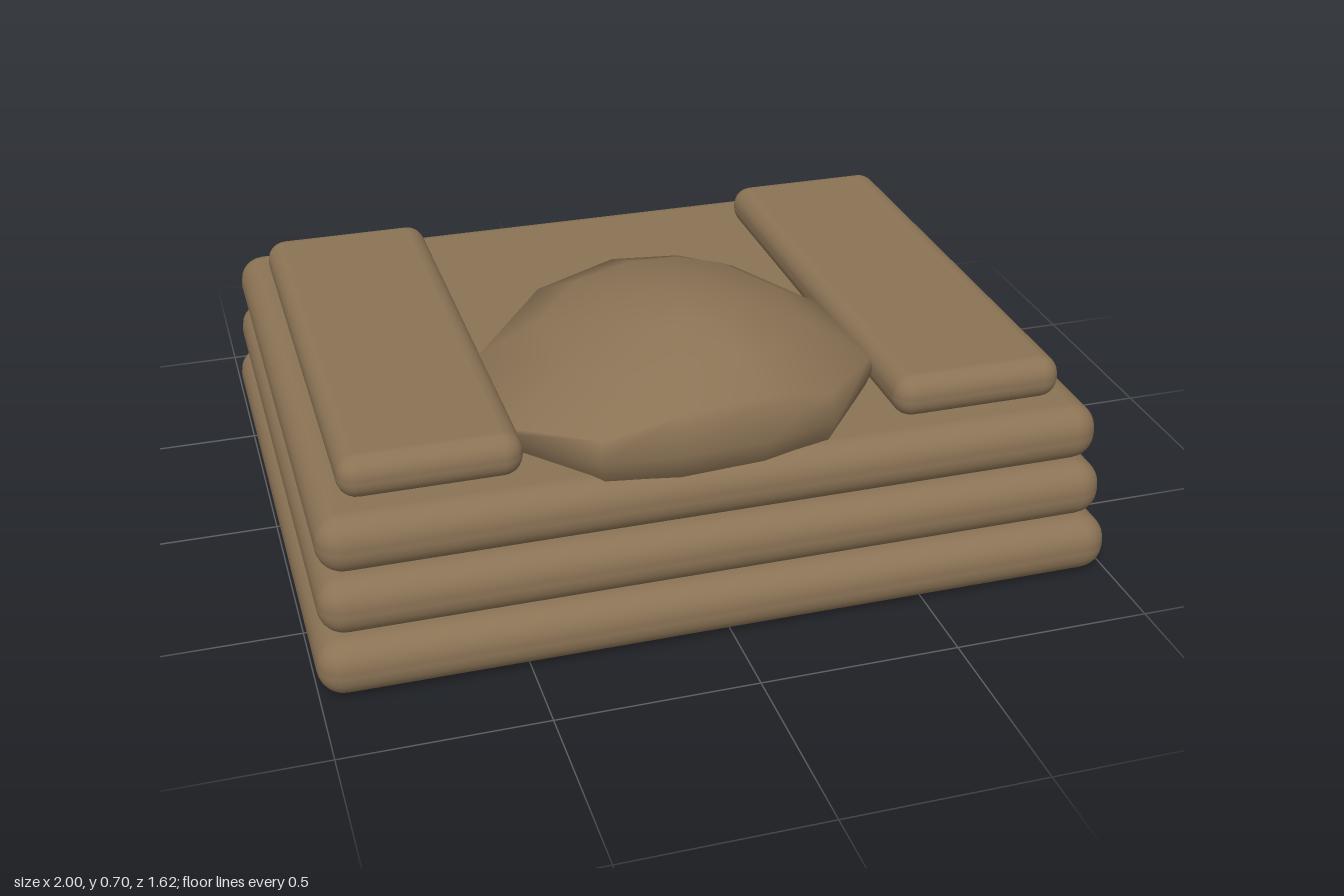
import * as THREE from 'three';
import { RoundedBoxGeometry } from 'three/addons/geometries/RoundedBoxGeometry.js';

const cloth = new THREE.MeshStandardMaterial({ color: 0x8b7355 });
cloth.name = 'brown cloth';

// Soft-edged slab given by its extents
function slab(name, x0, x1, y0, y1, z0, z1, radius) {
  const geo = new RoundedBoxGeometry(x1 - x0, y1 - y0, z1 - z0, 3, radius);
  const mesh = new THREE.Mesh(geo, cloth);
  mesh.name = name;
  mesh.position.set((x0 + x1) / 2, (y0 + y1) / 2, (z0 + z1) / 2);
  return mesh;
}

// Crumpled dome: rings that follow one irregular outline
function domeGeometry() {
  const cx = 0, cz = 0.32;
  const outline = [
    [0.14, -0.135], [0.29, -0.1], [0.43, 0.17], [0.475, 0.46], [0.28, 0.7], [0.1, 0.74],
    [-0.12, 0.75], [-0.31, 0.73], [-0.485, 0.53], [-0.48, 0.15], [-0.27, -0.05], [-0.05, -0.11],
  ];
  const n = outline.length;
  const topY = (x, z) => 0.7 - 0.8 * x * x - 0.09 * ((z - cz) / 0.42) ** 2;
  // Each ring: scale at the front, scale at the back, fixed height (or the top surface)
  const rings = [
    [0.93, 0.93, 0.4], [1, 0.97, 0.49], [0.975, 0.99, null], [0.65, 0.7, null], [0.32, 0.32, null],
  ];
  const pos = [], index = [];
  for (const [front, back, height] of rings) {
    for (const [ox, oz] of outline) {
      const s = oz > cz ? front : back;
      const x = cx + (ox - cx) * s, z = cz + (oz - cz) * s;
      pos.push(x, height ?? topY(x, z), z);
    }
  }
  for (let r = 0; r < rings.length - 1; r++) {
    for (let i = 0; i < n; i++) {
      const j = (i + 1) % n;
      const a = r * n + i, b = r * n + j, c = a + n, d = b + n;
      index.push(a, c, b, b, c, d);
    }
  }
  // Close the crown and the underside
  const crown = pos.length / 3, base = crown + 1, last = (rings.length - 1) * n;
  pos.push(cx, 0.698, cz, cx, 0.4, cz);
  for (let i = 0; i < n; i++) {
    const j = (i + 1) % n;
    index.push(crown, last + j, last + i, base, i, j);
  }
  const geo = new THREE.BufferGeometry();
  geo.setAttribute('position', new THREE.Float32BufferAttribute(pos, 3));
  geo.setIndex(index);
  geo.computeVertexNormals();
  return geo;
}

export function createModel() {
  const group = new THREE.Group();
  group.name = 'foldedGarment';

  // Three stacked folds, each a little smaller and set back at the front
  const folds = [[1, 0.81, -0.81], [0.985, 0.78, -0.805], [0.975, 0.75, -0.8]];
  folds.forEach(([hx, front, back], i) => {
    group.add(slab(`fold${i + 1}`, -hx, hx, i * 0.1465, (i + 1) * 0.1465, back, front, 0.066));
  });

  // Sleeves folded along both sides
  group.add(slab('leftSleeve', 0.465, 0.905, 0.43, 0.54, -0.65, 0.65, 0.05));
  group.add(slab('rightSleeve', -0.905, -0.465, 0.43, 0.54, -0.65, 0.65, 0.05));

  // Bunched hood at the front
  const hood = new THREE.Mesh(domeGeometry(), cloth);
  hood.name = 'hood';
  group.add(hood);

  return group;
}
